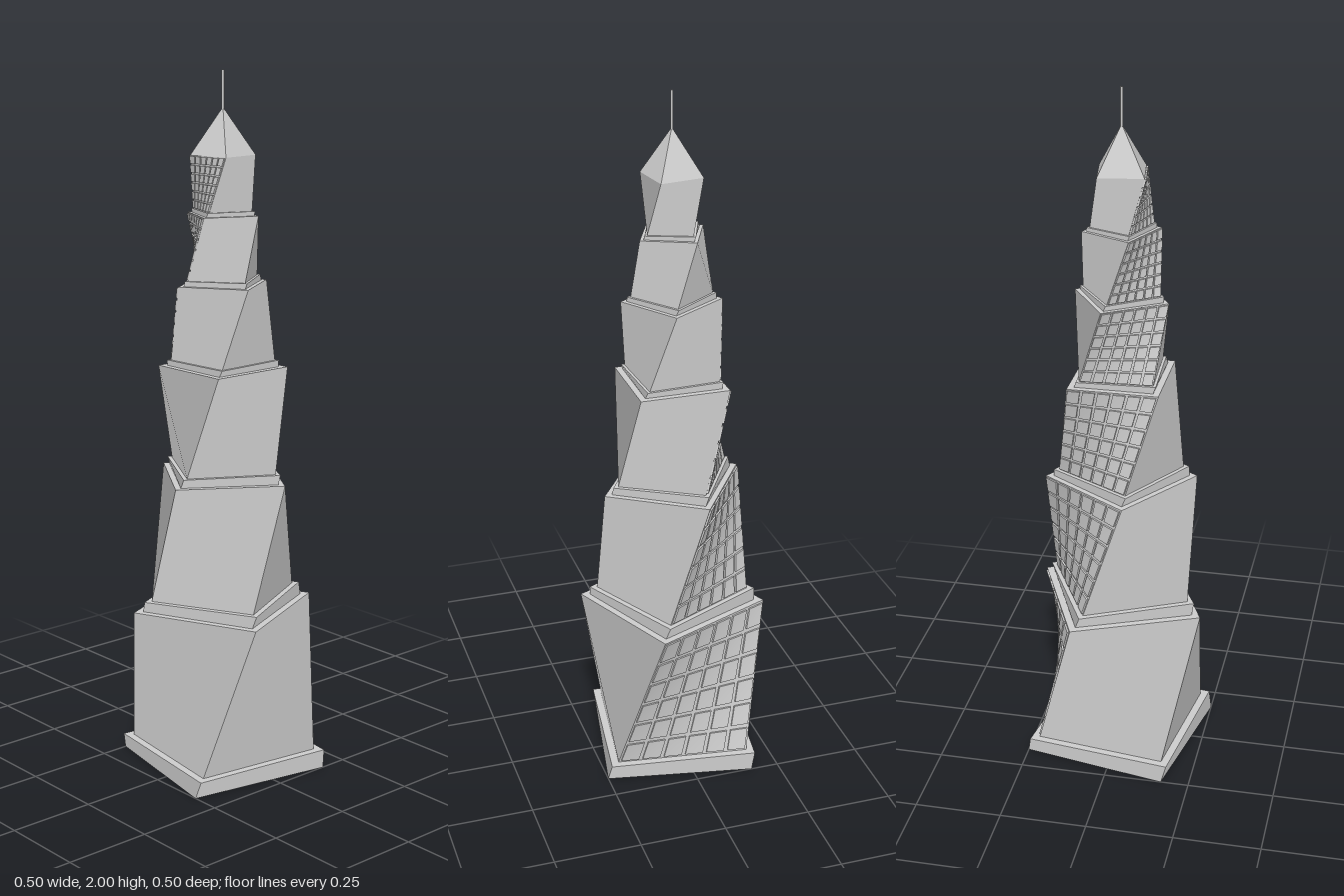
import * as THREE from 'three';
import { mergeGeometries } from 'three/addons/utils/BufferGeometryUtils.js';

const material = new THREE.MeshStandardMaterial({ color: 0xcccccc });
const rad = THREE.MathUtils.degToRad;

// Square ring point: unit-square position scaled to corner radius r and turned by deg
function ringPoint(x, z, r, deg) {
  const s = r * Math.SQRT2, c = Math.cos(rad(deg)), k = Math.sin(rad(deg));
  return [s * (x * c + z * k), s * (z * c - x * k)];
}

// Moves a geometry lying in the unit box into a block with straight, ruled, twisted walls
function twist(geometry, { y0, y1, r0, r1, a0, a1 }) {
  const p = geometry.attributes.position;
  for (let i = 0; i < p.count; i++) {
    const t = p.getY(i) + 0.5;
    const [bx, bz] = ringPoint(p.getX(i), p.getZ(i), r0, a0);
    const [tx, tz] = ringPoint(p.getX(i), p.getZ(i), r1, a1);
    p.setXYZ(i, bx + (tx - bx) * t, y0 + (y1 - y0) * t, bz + (tz - bz) * t);
  }
  geometry.computeVertexNormals();
  return geometry;
}

// Twisted block whose sides fold outward along a diagonal, one even normal per side.
// firstSide 1 leaves the +x side open.
function foldedBlock(block, firstSide) {
  const geometry = new THREE.BoxGeometry(1, 1, 1);
  const index = [];
  for (let side = firstSide; side < 6; side++) {
    index.push(...[0, 2, 3, 0, 3, 1].map((k) => side * 4 + k));
  }
  geometry.setIndex(index);
  twist(geometry, block);
  const { position, normal } = geometry.attributes;
  for (let v = 0; v < 24; v += 4) {
    const [a, d, b, c] = [0, 1, 2, 3].map((k) => new THREE.Vector3().fromBufferAttribute(position, v + k));
    const n = c.sub(a).cross(d.sub(b)).normalize();
    for (let k = 0; k < 4; k++) normal.setXYZ(v + k, n.x, n.y, n.z);
  }
  return geometry;
}

// Smoothly curved wall closing the +x side
function curvedWall(block) {
  return twist(new THREE.PlaneGeometry(1, 1, 8, 8).rotateY(Math.PI / 2).translate(0.5, 0, 0), block);
}

// Grid of raised panels on the +x wall
function windowGrid(block, cols = 6, rows = 6) {
  const depth = 0.005 / (block.r0 * Math.SQRT2);
  const panels = [];
  for (let c = 0; c < cols; c++) {
    for (let r = 0; r < rows; r++) {
      const g = new THREE.BoxGeometry(2 * depth, 0.82 / rows, 0.82 / cols);
      g.translate(0.5, (r + 0.5) / rows - 0.5, (c + 0.5) / cols - 0.5);
      panels.push(twist(g, block));
    }
  }
  return mergeGeometries(panels);
}

export function createModel() {
  const tower = new THREE.Group();
  tower.name = 'twistedTower';
  const add = (name, geometry, parent = tower) => {
    const mesh = new THREE.Mesh(geometry, material);
    mesh.name = name;
    parent.add(mesh);
    return mesh;
  };

  // Each tier: ledge bottom, wall bottom, wall top, ledge radius, wall radii, start and end angle
  const tiers = [
    [0, 0.048, 0.48, 0.302, 0.271, 0.27, -11, 23.5],
    [0.48, 0.512, 0.865, 0.242, 0.22, 0.217, 23.5, 56.7],
    [0.865, 0.89, 1.18, 0.194, 0.178, 0.182, 56.7, 90],
    [1.18, 1.197, 1.415, 0.157, 0.146, 0.141, 90, 123],
    [1.415, 1.43, 1.608, 0.124, 0.114, 0.11, 123, 156],
    [1.608, 1.62, 1.77, 0.097, 0.088, 0.09, 156, 189],
  ];
  tiers.forEach(([y0, y1, y2, ledgeR, r0, r1, start, end], i) => {
    const tier = new THREE.Group();
    tier.name = `tier${i + 1}`;
    tower.add(tier);
    const ledge = { y0, y1, r0: ledgeR, r1: ledgeR, a0: start, a1: start + 3 };
    const wall = { y0: y1, y1: y2, r0, r1, a0: start + 3, a1: end };
    add('ledge', foldedBlock(ledge, 0), tier);
    add('walls', foldedBlock(wall, 1), tier);
    add('windowWall', curvedWall(wall), tier);
    add('windows', windowGrid(wall), tier);
  });

  // Four-sided pointed roof, aligned with the topmost wall
  const roof = new THREE.ConeGeometry(0.09, 0.13, 4).toNonIndexed();
  roof.computeVertexNormals();
  roof.rotateY(rad(45 + 189));
  add('roof', roof).position.y = 1.835;

  // Antenna
  add('antenna', new THREE.CylinderGeometry(0.004, 0.004, 0.12, 8)).position.y = 1.94;
  return tower;
}
